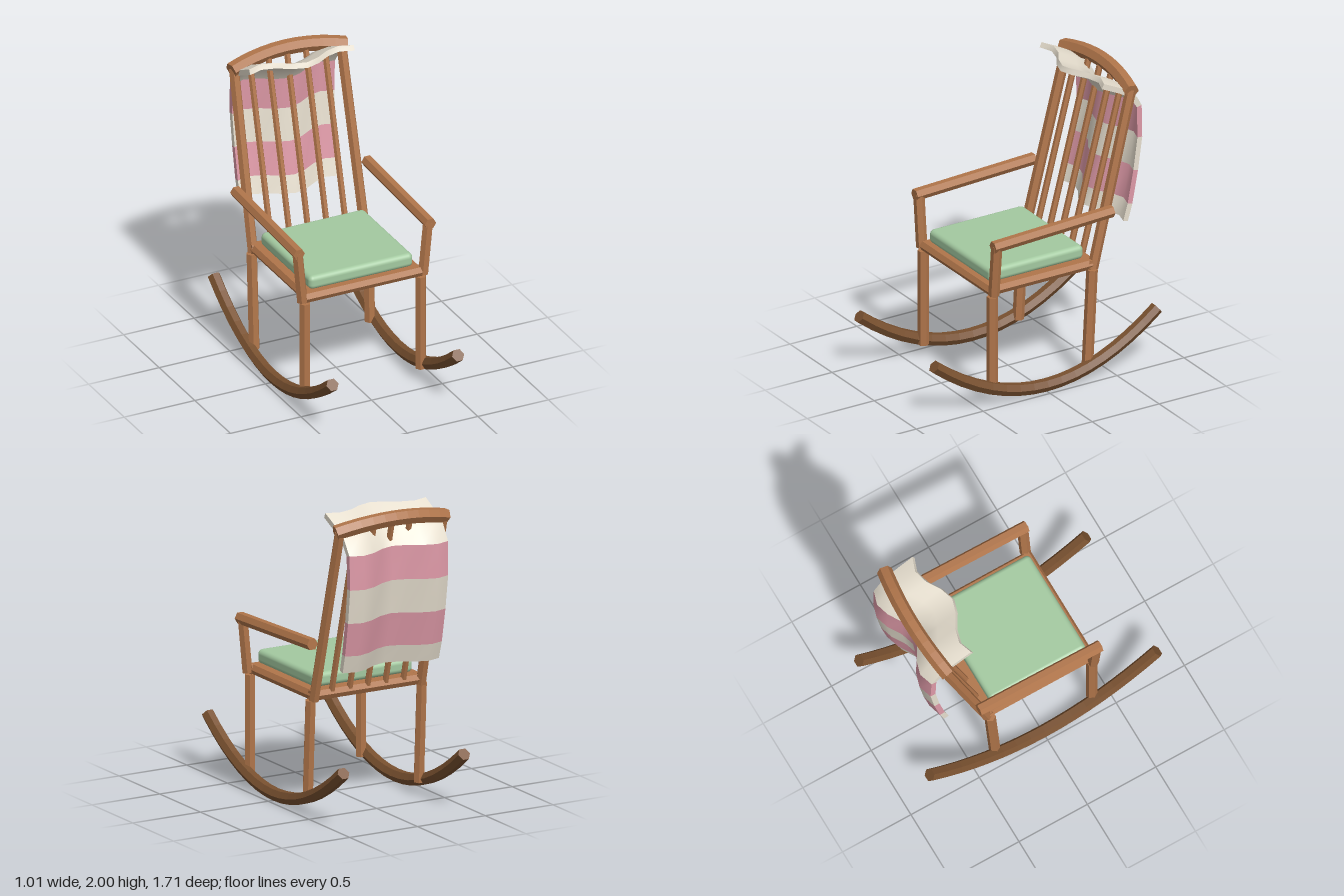
import * as THREE from 'three';
import { RoundedBoxGeometry } from 'three/addons/geometries/RoundedBoxGeometry.js';

const paint = (name, color, flatShading = false) => {
  const m = new THREE.MeshStandardMaterial({ color, flatShading });
  m.name = name;
  return m;
};
const V = (x, y, z) => new THREE.Vector3(x, y, z);

export function createModel() {
  const wood = paint('warm wood', 0xb0754a, true);
  const darkWood = paint('dark wood', 0x78502f, true);
  const green = paint('sage green', 0xa3c9a0);
  const cream = paint('cream', 0xe8e0d0);
  const pink = paint('pink', 0xdf9aa8);

  const group = new THREE.Group();
  group.name = 'rockingChair';
  const add = (name, geometry, material) => {
    const mesh = new THREE.Mesh(geometry, material);
    mesh.name = name;
    group.add(mesh);
    return mesh;
  };

  // Six-sided capped rod swept along a curve, with a corner pointing to "side"
  const sweep = (name, curve, r, material, side, segments) => {
    const geo = new THREE.CylinderGeometry(r, r, 1, 6, segments).rotateY(Math.PI / 6);
    const pos = geo.attributes.position;
    for (let i = 0; i < pos.count; i++) {
      const t = pos.getY(i) + 0.5;
      const T = curve.getTangent(t);
      const a = side.clone().addScaledVector(T, -side.dot(T)).normalize();
      const b = a.clone().cross(T);
      const p = curve.getPoint(t).addScaledVector(a, pos.getX(i)).addScaledVector(b, pos.getZ(i));
      pos.setXYZ(i, p.x, p.y, p.z);
    }
    geo.computeVertexNormals();
    return add(name, geo, material);
  };
  const X = V(1, 0, 0), Z = V(0, 0, 1);
  const rod = (name, a, b, r, side = X) => sweep(name, new THREE.LineCurve3(a, b), r, wood, side, 1);

  // Mirrored parts: rockers, legs, seat sides, arms and back posts
  for (const [label, s] of [['left', 1], ['right', -1]]) {
    const rocker = new THREE.QuadraticBezierCurve3(
      V(s * 0.445, 0.372, 0.832), V(s * 0.445, -0.296, 0), V(s * 0.445, 0.372, -0.832));
    sweep(label + 'Rocker', rocker, 0.043, darkWood, X, 16);
    rod(label + 'FrontLeg', V(s * 0.41, 0.08, 0.375), V(s * 0.41, 0.735, 0.375), 0.037);
    rod(label + 'BackLeg', V(s * 0.41, 0.08, -0.335), V(s * 0.41, 0.74, -0.37), 0.037);
    rod(label + 'SeatRail', V(s * 0.385, 0.77, -0.375), V(s * 0.385, 0.77, 0.375), 0.037);
    rod(label + 'ArmPost', V(s * 0.428, 0.75, 0.375), V(s * 0.463, 1.11, 0.375), 0.036);
    rod(label + 'Armrest', V(s * 0.465, 1.105, 0.405), V(s * 0.465, 1.14, -0.485), 0.04);
    rod(label + 'BackPost', V(s * 0.395, 0.74, -0.385), V(s * 0.38, 1.91, -0.68), 0.035);
  }

  // Seat
  rod('frontSeatRail', V(-0.415, 0.77, 0.368), V(0.415, 0.77, 0.368), 0.037, Z);
  rod('backSeatRail', V(-0.415, 0.77, -0.375), V(0.415, 0.77, -0.375), 0.037, Z);
  add('seatPanel', new THREE.BoxGeometry(0.78, 0.064, 0.75), wood).position.set(0, 0.77, 0);
  add('cushion', new RoundedBoxGeometry(0.736, 0.094, 0.704, 3, 0.032), green)
    .position.set(0, 0.85, 0.013);

  // Chair back
  for (let i = -2; i <= 2; i++) {
    rod('spindle', V(i * 0.132, 0.78, -0.385), V(i * 0.132, 1.92, -0.685), 0.021);
  }
  const topRail = new THREE.QuadraticBezierCurve3(
    V(-0.405, 1.905, -0.668), V(0, 2.006, -0.75), V(0.405, 1.905, -0.668));
  sweep('topRail', topRail, 0.05, wood, Z, 10);

  // Striped blanket: profile as [z, y] from the front flap, over and down the back
  const profile = [
    [-0.40, 1.972], [-0.53, 1.908], [-0.61, 1.86], [-0.672, 1.765], [-0.676, 1.547],
    [-0.645, 1.323], [-0.603, 1.10], [-0.57, 0.984],
  ].map(([z, y]) => new THREE.Vector2(z, y));
  const last = profile.length - 1;
  const fold = x => 0.055 * (Math.cos(x * 2 * Math.PI / 0.54) - 1);
  const blanketBand = (name, from, to, material) => {
    const rows = to - from;
    const geo = new THREE.BoxGeometry(2, rows, 0.036, 8, rows, 1);
    const pos = geo.attributes.position;
    for (let i = 0; i < pos.count; i++) {
      const row = Math.round(from + rows / 2 - pos.getY(i));
      const dir = profile[Math.min(row + 1, last)].clone().sub(profile[Math.max(row - 1, 0)]).normalize();
      const x = pos.getX(i) * (0.37 - 0.015 * row / last);
      const w = pos.getZ(i);
      pos.setXYZ(i, x, profile[row].y + dir.x * w, profile[row].x - dir.y * w + fold(x));
    }
    geo.computeVertexNormals();
    add(name, geo, material);
  };
  blanketBand('blanketTop', 0, 3, cream);
  blanketBand('blanketUpperStripe', 3, 4, pink);
  blanketBand('blanketMiddle', 4, 5, cream);
  blanketBand('blanketLowerStripe', 5, 6, pink);
  blanketBand('blanketHem', 6, 7, cream);

  return group;
}
